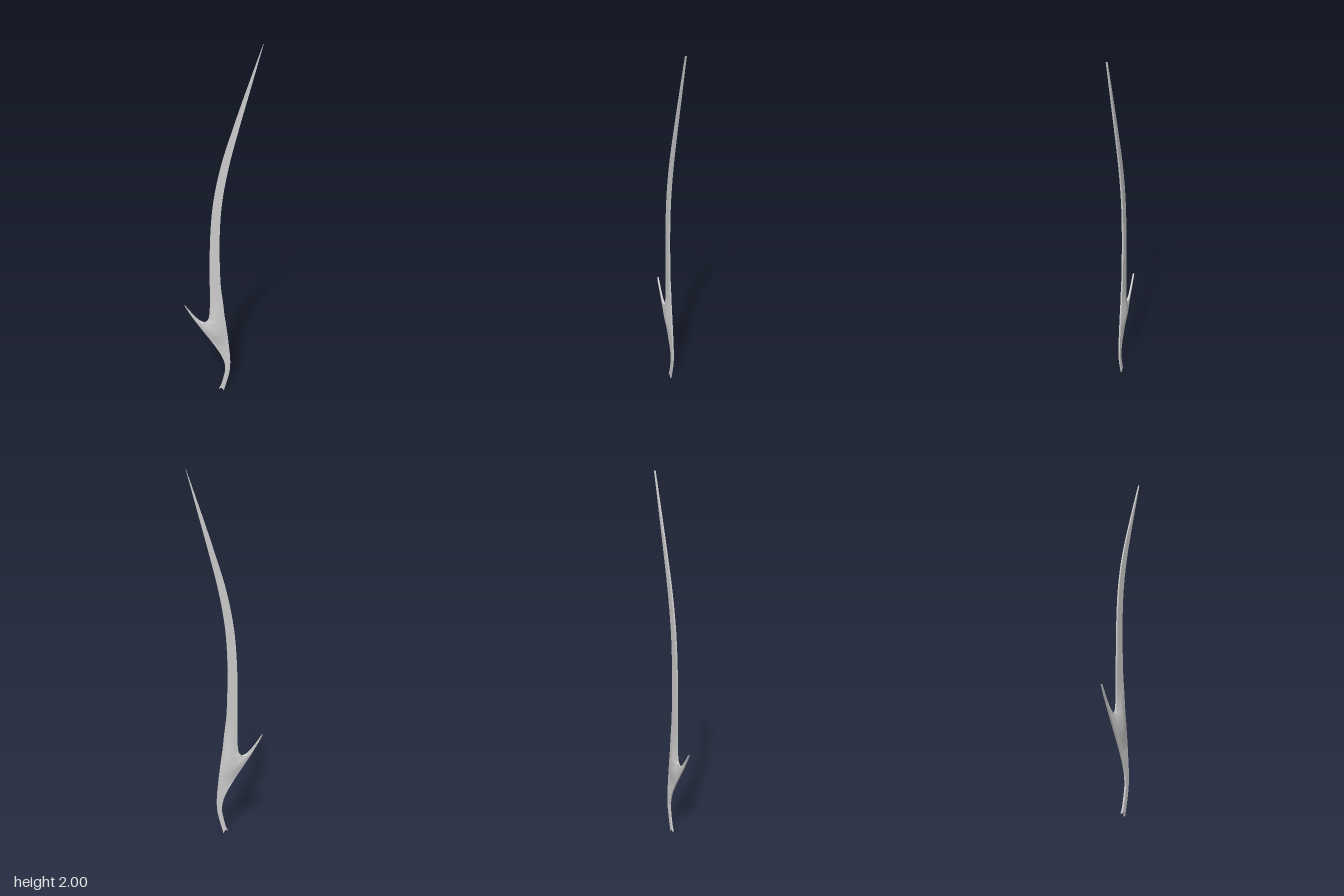
import * as THREE from 'three';
import { toCreasedNormals } from 'three/addons/utils/BufferGeometryUtils.js';

const ACROSS = 12;                        // divisions across the width
const CROTCH = { x: -0.085, y: 0.472 };   // where the barb leaves the blade

// Rows of [left x, right x, y]
const base = [
  [-0.008, 0.02, 0], [0.008, 0.033, 0.05], [0.02, 0.046, 0.1], [0.028, 0.055, 0.15],
  [0.023, 0.057, 0.2], [0.005, 0.055, 0.25], [-0.022, 0.05, 0.3], [-0.053, 0.045, 0.35],
  [-0.086, 0.039, 0.4], [-0.133, 0.03, CROTCH.y],
];
const blade = [
  [CROTCH.x, 0.03, CROTCH.y], [-0.069, 0.027, 0.49], [-0.062, 0.023, 0.52], [-0.058, 0.015, 0.6],
  [-0.058, 0.003, 0.7], [-0.058, -0.002, 0.8], [-0.054, -0.004, 1], [-0.037, 0.009, 1.2],
  [0.003, 0.044, 1.4], [0.064, 0.094, 1.6], [0.131, 0.148, 1.8], [0.201, 0.202, 2],
];
const barb = [
  [-0.133, CROTCH.x, CROTCH.y], [-0.139, -0.108, 0.481], [-0.15, -0.13, 0.5],
  [-0.174, -0.163, 0.54], [-0.2, -0.199, 0.59],
];

// Half thickness: a thin plate that swells where the barb branches off
function halfThickness(x, y, xl, xr) {
  const { smoothstep, clamp } = THREE.MathUtils;
  const swell = smoothstep(y, 0.29, 0.42) * (1 - smoothstep(y, 0.42, 0.67));
  const side = x < -0.02 ? clamp((x + 0.14) / 0.12, 0, 1) : clamp((0.04 - x) / 0.06, 0, 1);
  const toEdge = Math.min(x - xl, xr - x, Math.hypot(x - CROTCH.x, y - CROTCH.y));
  const inner = Math.sin(clamp(toEdge / 0.045, 0, 1) * Math.PI / 2);
  return 0.0045 + 0.013 * swell * inner * Math.sqrt(side);
}

// Closed flat loops stacked upward along the rows
function loft(rows, steps, capBottom) {
  const curve = new THREE.CatmullRomCurve3(rows.map(r => new THREE.Vector3(...r)));
  const pos = [], idx = [], n = ACROSS, ring = 2 * (n + 1);
  for (let i = 0; i <= steps; i++) {
    const { x: xl, y: xr, z: y } = curve.getPoint(i / steps);
    for (let k = 0; k < ring; k++) {
      const front = k <= n;
      const u = (front ? k : ring - 1 - k) / n;
      const x = THREE.MathUtils.lerp(xl, xr, u);
      const h = halfThickness(x, y, xl, xr);
      // slanted, notched foot
      const lift = Math.max(0, 1 - y / 0.035) * (0.01 * (1 - u) + 0.014 * Math.sin(Math.PI * u));
      pos.push(x, y + lift, front ? h : -h);
      if (i < steps) {
        const a = i * ring + k, b = i * ring + (k + 1) % ring;
        idx.push(a, b, b + ring, a, b + ring, a + ring);
      }
    }
  }
  if (capBottom) {
    for (let j = 0; j < n; j++) {
      const back = ring - 1 - j;
      idx.push(j, back, back - 1, j, back - 1, j + 1);
    }
  }
  const geo = new THREE.BufferGeometry();
  geo.setAttribute('position', new THREE.Float32BufferAttribute(pos, 3));
  geo.setIndex(idx);
  return toCreasedNormals(geo, 0.7);
}

export function createModel() {
  const group = new THREE.Group();
  group.name = 'barbedBlade';
  const material = new THREE.MeshStandardMaterial({ color: 0xcccccc });
  const add = (name, rows, steps, cap) => {
    const mesh = new THREE.Mesh(loft(rows, steps, cap), material);
    mesh.name = name;
    group.add(mesh);
  };
  add('tang', base, 36, true);
  add('blade', blade, 55, false);
  add('barb', barb, 20, false);
  return group;
}
